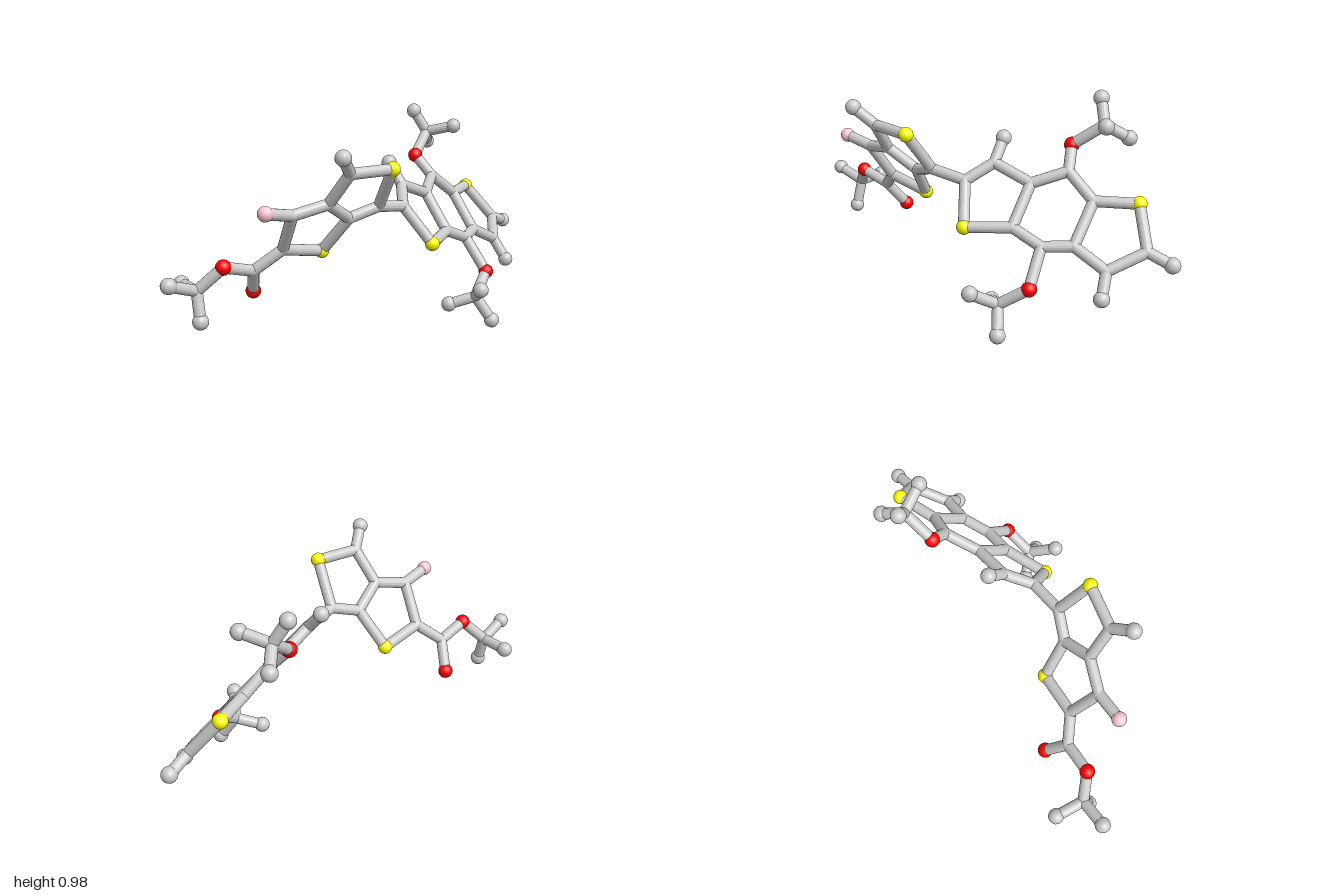
import * as THREE from 'three';

const mat = (color) => new THREE.MeshStandardMaterial({ color, flatShading: true });
const GREY = mat(0xcccccc), YELLOW = mat(0xffff00), RED = mat(0xff0000), PINK = mat(0xffc8d4);

const JOINT = 0.026, BALL = 0.035, ROD = 0.025;

// Each part: nodes (name -> position), rods (chains of node names)
const PARTS = {
  // tilted pair of five-sided rings
  smallRings: {
    grey: {
      a1: [-0.494, 0.45, -0.075], a2: [-0.526, 0.62, 0.04], a3: [-0.376, 0.654, 0.09],
      a4: [-0.238, 0.569, 0.057], a5: [-0.35, 0.793, 0.2], a6: [-0.11, 0.611, 0.105],
    },
    yellow: { aS1: [-0.286, 0.41, -0.072], aS2: [-0.147, 0.794, 0.235] },
    pink: { aF: [-0.665, 0.648, 0.045] },
    ends: { aH: [-0.43, 0.873, 0.253] },
    rods: ['a1 a2 a3 a4 aS1 a1', 'a3 a5 aS2 a6 a4', 'a2 aF', 'a5 aH'],
  },
  // branch hanging from the small rings
  sideBranch: {
    grey: { e1: [-0.595, 0.36, -0.15], e2: [-0.832, 0.302, -0.222] },
    red: { eO1: [-0.542, 0.243, -0.232], eO2: [-0.745, 0.402, -0.15] },
    ends: { eH1: [-0.967, 0.351, -0.214], eH2: [-0.84, 0.177, -0.189], eH3: [-0.823, 0.303, -0.358] },
    rods: ['a1 e1 eO1', 'e1 eO2 e2 eH1', 'e2 eH2', 'e2 eH3'],
  },
  // flat run of three rings
  largeRings: {
    grey: {
      b1: [0.056, 0.585, 0.083], b2: [0.141, 0.657, -0.018], b3: [0.318, 0.593, -0.039],
      b4: [0.318, 0.433, 0.1], b5: [0.449, 0.648, -0.133], b6: [0.459, 0.377, 0.09],
      b7: [0.585, 0.547, -0.117], b8: [0.58, 0.387, 0.026], b9: [0.857, 0.39, -0.099],
      b10: [0.736, 0.314, 0.022],
    },
    yellow: { bS1: [0.131, 0.42, 0.194], bS2: [0.76, 0.55, -0.197] },
    ends: { bH1: [0.136, 0.75, -0.096], bH2: [0.964, 0.35, -0.118], bH3: [0.755, 0.217, 0.088] },
    rods: ['a6 b1 b2 b3 b4 bS1 b1', 'b3 b5 b7 b8 b6 b4', 'b7 bS2 b9 b10 b8', 'b2 bH1', 'b9 bH2', 'b10 bH3'],
  },
  upperBranch: {
    grey: { u1: [0.542, 0.84, -0.264] },
    red: { uO: [0.414, 0.741, -0.212] },
    ends: { uH1: [0.496, 0.942, -0.307], uH2: [0.611, 0.872, -0.148], uH3: [0.622, 0.777, -0.341] },
    rods: ['b5 uO u1 uH1', 'u1 uH2', 'u1 uH3'],
  },
  lowerBranch: {
    grey: { l1: [0.355, 0.143, 0.256] },
    red: { lO: [0.478, 0.23, 0.207] },
    ends: { lH1: [0.28, 0.21, 0.356], lH2: [0.265, 0.106, 0.174], lH3: [0.398, 0.035, 0.32] },
    rods: ['b6 lO l1 lH1', 'l1 lH2', 'l1 lH3'],
  },
};

const STYLES = {
  grey: ['joint', GREY, JOINT], ends: ['endBall', GREY, BALL], yellow: ['yellowBall', YELLOW, BALL - 0.002],
  red: ['redBall', RED, BALL - 0.001], pink: ['pinkBall', PINK, BALL - 0.002],
};

// cylinder between two points
function rod(a, b) {
  const dir = b.clone().sub(a);
  const mesh = new THREE.Mesh(new THREE.CylinderGeometry(ROD, ROD, dir.length(), 18, 1), GREY);
  mesh.position.copy(a).add(b).multiplyScalar(0.5);
  mesh.quaternion.setFromUnitVectors(new THREE.Vector3(0, 1, 0), dir.normalize());
  mesh.name = 'rod';
  return mesh;
}

export function createModel() {
  const model = new THREE.Group();
  model.name = 'ballAndStickModel';
  const nodes = {};
  for (const [partName, part] of Object.entries(PARTS)) {
    const group = new THREE.Group();
    group.name = partName;
    // balls and joints
    for (const [kind, [name, material, radius]] of Object.entries(STYLES)) {
      for (const [id, p] of Object.entries(part[kind] ?? {})) {
        const ball = new THREE.Mesh(new THREE.SphereGeometry(radius, 20, 14), material);
        ball.position.set(...p);
        ball.name = name;
        nodes[id] = ball.position;
        group.add(ball);
      }
    }
    // rods along each chain
    for (const chain of part.rods) {
      const ids = chain.split(' ');
      for (let i = 1; i < ids.length; i++) group.add(rod(nodes[ids[i - 1]], nodes[ids[i]]));
    }
    model.add(group);
  }
  return model;
}
